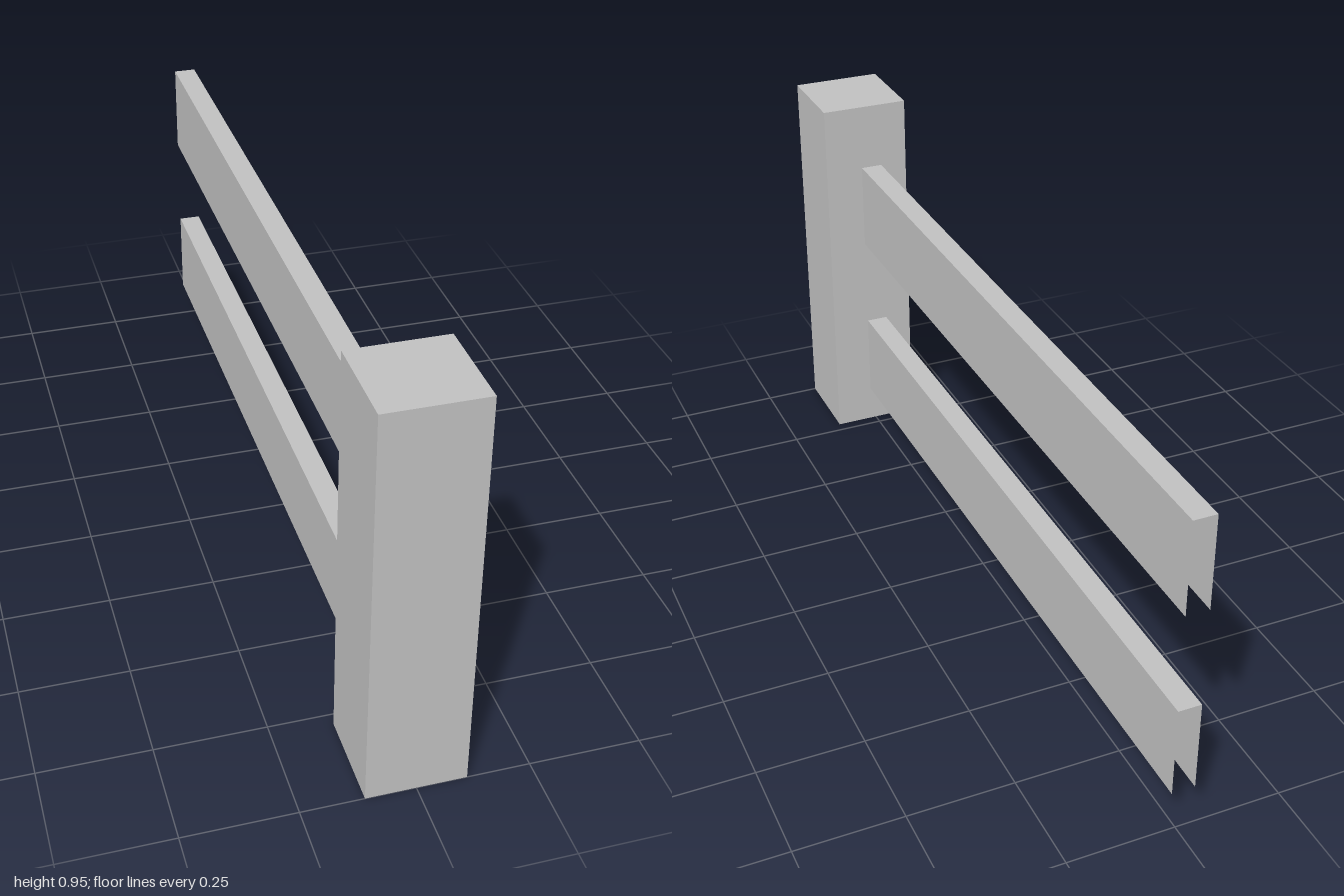
import * as THREE from 'three';

// Box between two corners that keeps only the listed sides
// (0 +x, 1 -x, 2 +y, 3 -y, 4 +z, 5 -z)
function openBox(min, max, sides) {
  const size = max.map((v, i) => v - min[i]);
  const geo = new THREE.BoxGeometry(...size);
  geo.translate(...min.map((v, i) => v + size[i] / 2));
  const all = Array.from(geo.index.array);
  geo.setIndex(sides.flatMap((s) => all.slice(s * 6, s * 6 + 6)));
  geo.clearGroups();
  return geo;
}

export function createModel() {
  const model = new THREE.Group();
  model.name = 'fenceSection';
  const grey = new THREE.MeshStandardMaterial({ color: 0xc0c0c0, side: THREE.DoubleSide });
  grey.name = 'fence grey';

  const add = (name, geo) => {
    const mesh = new THREE.Mesh(geo, grey);
    mesh.name = name;
    model.add(mesh);
  };

  // Hollow post, open underneath
  add('post', openBox([-0.111, 0, 0.779], [0.111, 0.946, 1], [0, 1, 2, 4, 5]));

  // Rails: two sides and a top, open underneath and at the far end
  const rails = [['lowerRail', 0.097, 0.317], ['upperRail', 0.553, 0.776]];
  for (const [name, bottom, top] of rails) {
    add(name, openBox([-0.041, bottom, -1], [0.013, top, 0.779], [0, 1, 2]));
  }
  return model;
}
